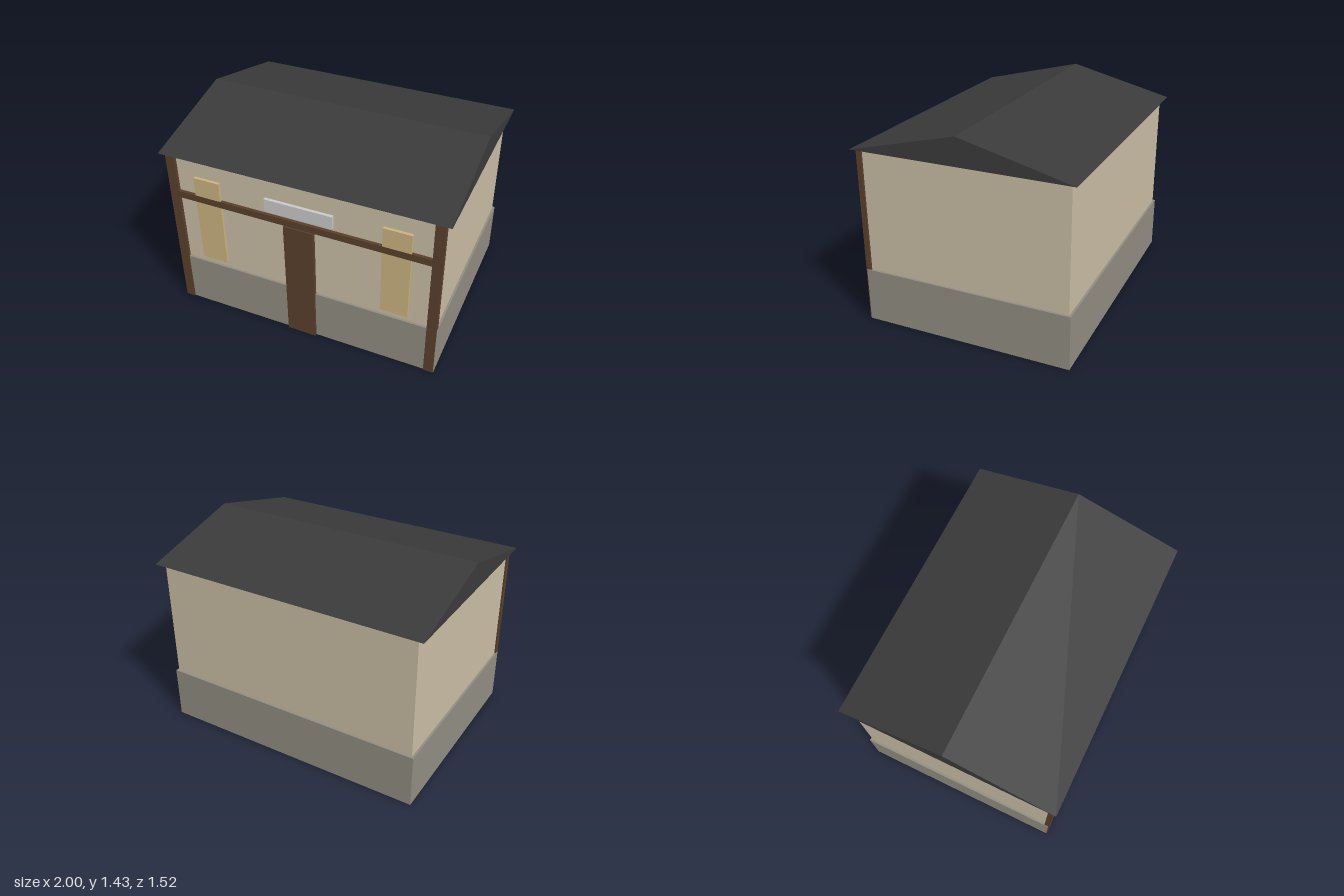
import * as THREE from 'three';

const paint = (name, color) => {
  const m = new THREE.MeshStandardMaterial({ color });
  m.name = name;
  return m;
};

export function createModel() {
  const group = new THREE.Group();
  const plaster = paint('plaster', 0xc8bca3);
  const stone = paint('stone', 0x908c81);
  const wood = paint('dark wood', 0x5a3f2b);
  const glass = paint('warm window', 0xc9b27f);
  const signGrey = paint('sign grey', 0xc8c8ca);
  const slate = paint('slate', 0x3a3a3a);

  // Box given by its extents on each axis
  const box = (name, material, [x0, x1], [y0, y1], [z0, z1]) => {
    const mesh = new THREE.Mesh(new THREE.BoxGeometry(x1 - x0, y1 - y0, z1 - z0), material);
    mesh.position.set((x0 + x1) / 2, (y0 + y1) / 2, (z0 + z1) / 2);
    mesh.name = name;
    group.add(mesh);
  };

  // Body
  box('stoneBase', stone, [-0.965, 0.965], [0, 0.38], [-0.73, 0.73]);
  box('walls', plaster, [-0.95, 0.95], [0.01, 1.24], [-0.715, 0.715]);

  // Front timber and door
  box('door', wood, [-0.105, 0.105], [0, 0.905], [0.7, 0.747]);
  box('crossBeam', wood, [-0.9, 0.9], [0.905, 0.955], [0.7, 0.737]);
  box('sign', signGrey, [-0.24, 0.24], [0.98, 1.075], [0.7, 0.737]);

  // Mirrored corner posts and windows
  for (const side of [-1, 1]) {
    const span = (a, b) => (side > 0 ? [a, b] : [-b, -a]);
    const label = side > 0 ? 'left' : 'right';
    box(label + 'Post', wood, span(0.895, 0.962), [0, 1.24], [0.7, 0.738]);
    box(label + 'Window', glass, span(0.572, 0.762), [0.43, 1.095], [0.7, 0.736]);
  }

  // Solid gable roof, with its ridge along x
  const gable = new THREE.Shape([
    new THREE.Vector2(-0.76, 1.24),
    new THREE.Vector2(0.76, 1.24),
    new THREE.Vector2(0, 1.43),
  ]);
  const roofGeometry = new THREE.ExtrudeGeometry(gable, { depth: 2, bevelEnabled: false });
  roofGeometry.translate(0, 0, -1).rotateY(Math.PI / 2);
  const roof = new THREE.Mesh(roofGeometry, slate);
  roof.name = 'roof';
  group.add(roof);

  return group;
}
